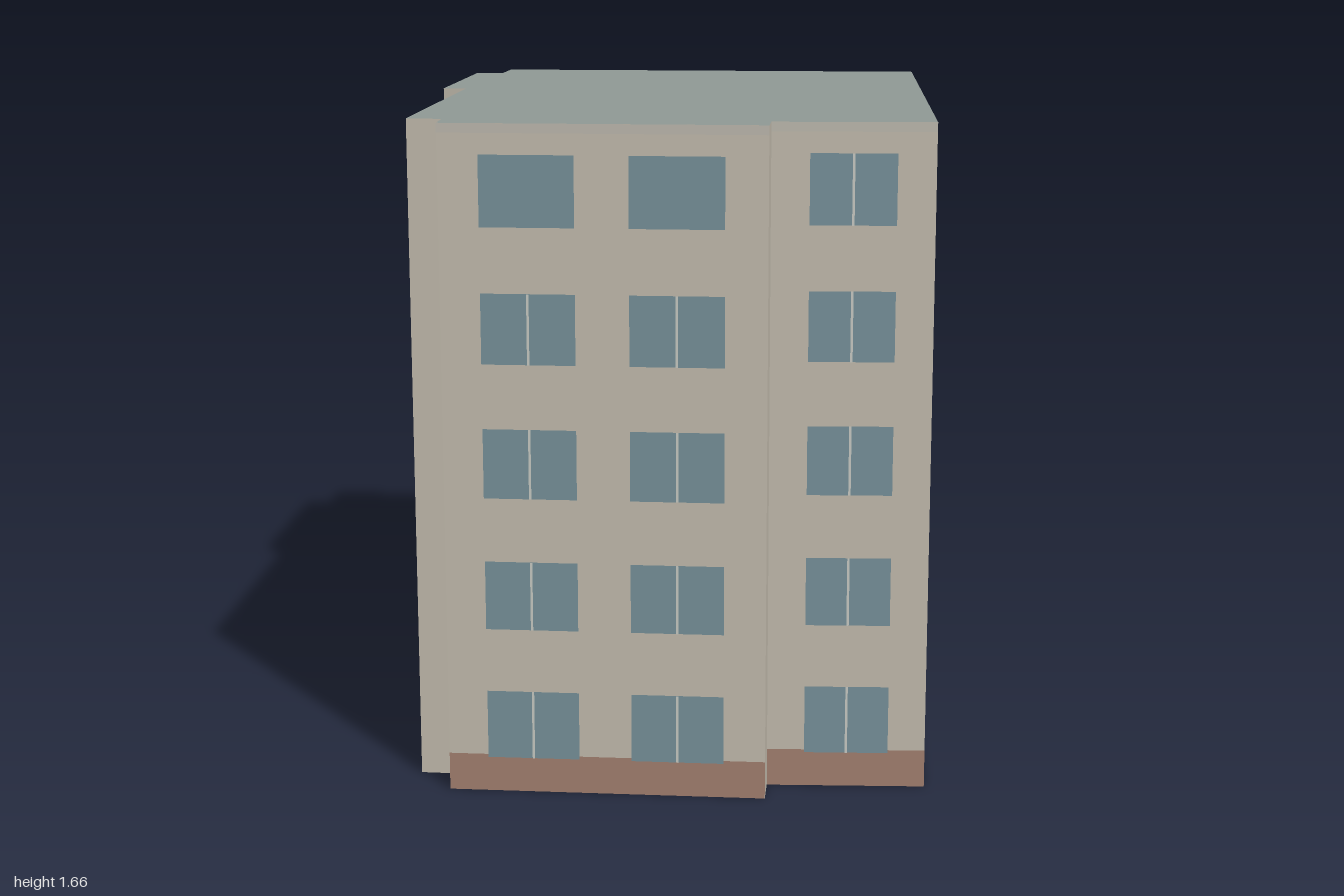
import * as THREE from 'three';

const HEIGHT = 1.665;
const mat = (color, side = THREE.FrontSide) => new THREE.MeshStandardMaterial({ color, side });

export function createModel() {
  const building = new THREE.Group();
  building.name = 'apartmentBlock';

  const plaster = mat(0xc2bbad, THREE.DoubleSide);
  const glass = mat(0x77919a);
  const brick = mat(0xa2806f);
  const coping = mat(0xbdb9ae);
  const frame = mat(0xc9cbc4);
  const railing = mat(0x96a39d, THREE.DoubleSide);
  const roofing = mat(0x8f9995, THREE.DoubleSide);

  // Upright panel in wall coordinates: x along the wall, y up, z outwards
  const panel = (name, x0, x1, y0, y1, z, material) => {
    const mesh = new THREE.Mesh(new THREE.PlaneGeometry(x1 - x0, y1 - y0), material);
    mesh.name = name;
    mesh.position.set((x0 + x1) / 2, (y0 + y1) / 2, z);
    return mesh;
  };

  // Footprint corners, each with the wall that starts there.
  // bays: window spans as fractions of the wall; split(bay, floor): has a centre bar
  const walls = [
    { at: [-0.76, 0.785], name: 'frontWall', bays: [[0.125, 0.415], [0.58, 0.87]], split: (b, f) => f < 4 },
    { at: [0, 0.995], name: 'frontStep' },
    { at: [0.025, 0.905], name: 'frontRecess', bays: [[0.235, 0.765]], split: () => true },
    { at: [0.41, 0.99], name: 'sideWall', bays: [[0.075, 0.277], [0.398, 0.597], [0.717, 0.916]] },
    { at: [0.82, -0.67], name: 'backWall', bays: [[0.08, 0.275], [0.395, 0.595], [0.715, 0.915]], split: (b, f) => f === 0 && b < 2 },
    { at: [-0.385, -1], name: 'backCorner', bays: [[0.22, 0.78]], split: () => true },
    { at: [-0.425, -0.855], name: 'backCornerStep' },
    { at: [-0.505, -0.86], name: 'projectingBay', bays: [[0.22, 0.78]], split: () => true },
    { at: [-0.655, -0.27], name: 'bayStep' },
    { at: [-0.597, -0.243], name: 'longWall', bays: [[0.08, 0.37], [0.57, 0.87]], split: () => true },
    { at: [-0.822, 0.66], name: 'cornerStep' },
    { at: [-0.738, 0.685], name: 'cornerReturn' },
  ];

  walls.forEach((wall, i) => {
    const [x, z] = wall.at;
    const [nx, nz] = walls[(i + 1) % walls.length].at;
    const length = Math.hypot(nx - x, nz - z);
    const side = new THREE.Group();
    side.name = wall.name;
    side.position.set(x, 0, z);
    side.rotation.y = Math.atan2(z - nz, nx - x);
    side.add(panel('plaster', 0, length, 0, HEIGHT, 0, plaster));

    if (wall.bays) {
      side.add(panel('brickBase', 0, length, 0, 0.095, 0.0015, brick));
      side.add(panel('coping', 0, length, 1.642, HEIGHT, 0.0015, coping));

      wall.bays.forEach(([a, b], bay) => {
        const x0 = a * length, x1 = b * length, mid = (x0 + x1) / 2;
        for (let floor = 0; floor < 5; floor++) {
          const y0 = 0.088 + floor * 0.3325, y1 = y0 + 0.173;
          const railed = wall.name === 'sideWall' && bay === 0 && floor === 1;
          side.add(panel('window', x0, x1, railed ? 0.487 : y0, y1, 0.003, glass));
          if (wall.split?.(bay, floor)) {
            side.add(panel('windowBar', mid - 0.003, mid + 0.003, y0, y1, 0.0045, frame));
          }
          // Low railing that swings slightly away from the wall
          if (railed) {
            const rail = new THREE.Mesh(new THREE.BoxGeometry(x1 - x0, 0.05, 0.002), railing);
            rail.name = 'windowRailing';
            rail.position.set(mid, 0.45, 0.007);
            rail.rotation.y = -0.025;
            side.add(rail);
            side.add(panel('windowSill', x0, x1, 0.478, 0.487, 0.003, frame));
          }
        }
      });
    }
    building.add(side);
  });

  // Flat roof over the footprint; the underside stays open
  const outline = new THREE.Shape(walls.map(({ at: [x, z] }) => new THREE.Vector2(x, -z)));
  const roof = new THREE.Mesh(new THREE.ShapeGeometry(outline).rotateX(-Math.PI / 2), roofing);
  roof.name = 'roof';
  roof.position.y = HEIGHT;
  building.add(roof);

  return building;
}
